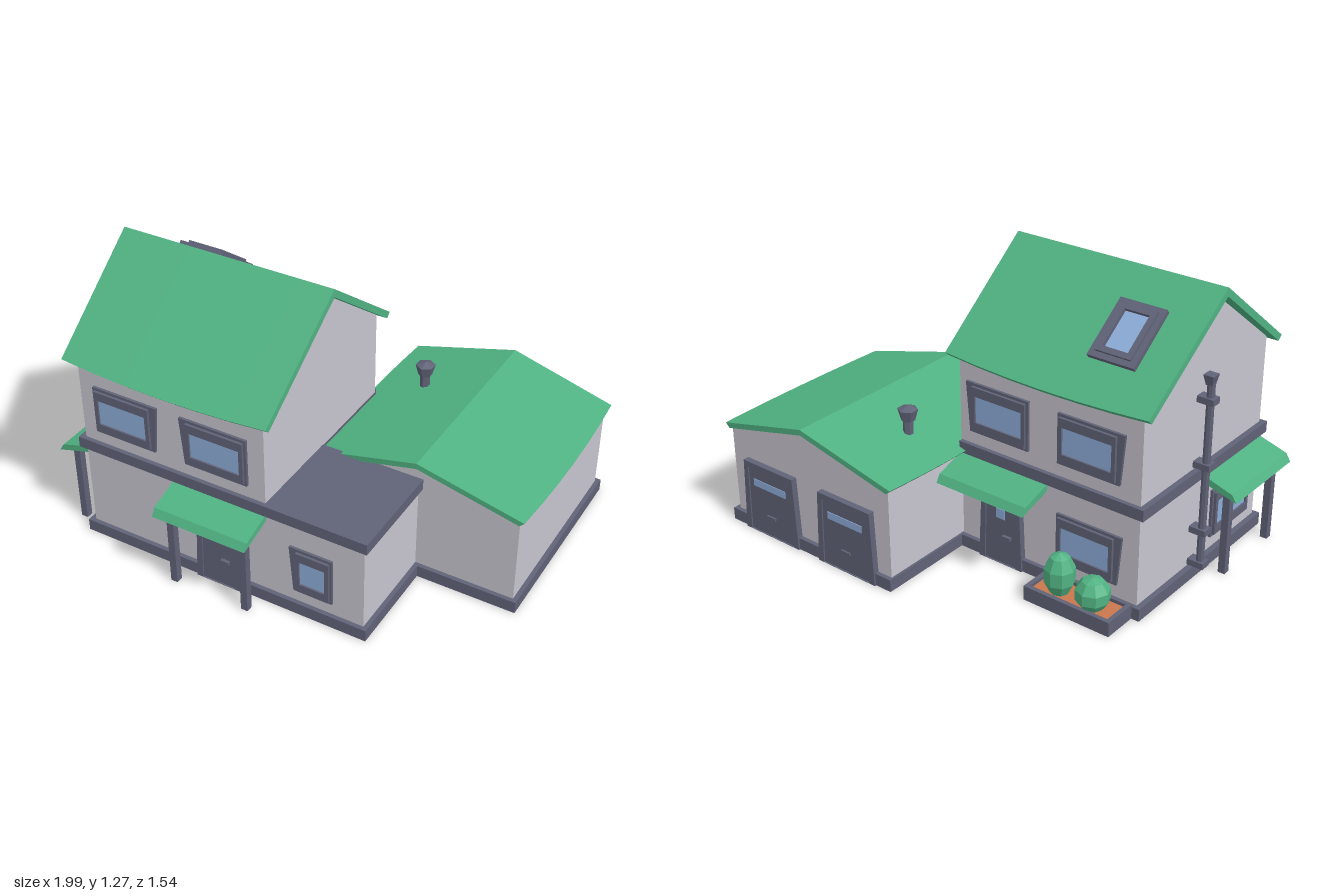
import * as THREE from 'three';

const mat = (name, color) => new THREE.MeshStandardMaterial({ name, color });

export function createModel() {
  const house = new THREE.Group();
  house.name = 'house';
  const wall = mat('wall grey', 0xc6c4cd), slate = mat('slate', 0x606277), green = mat('roof green', 0x50b282);
  const glass = mat('glass blue', 0x8cadd8), soil = mat('soil orange', 0xc9784c);

  // Adds a faceted mesh
  function add(parent, name, geo, material, x = 0, y = 0, z = 0) {
    const g = geo.index ? geo.toNonIndexed() : geo;
    g.computeVertexNormals();
    const m = new THREE.Mesh(g, material);
    m.name = name;
    m.position.set(x, y, z);
    parent.add(m);
    return m;
  }
  // Box given by its limits
  const block = (parent, name, m, x0, x1, y0, y1, z0, z1) =>
    add(parent, name, new THREE.BoxGeometry(x1 - x0, y1 - y0, z1 - z0), m, (x0 + x1) / 2, (y0 + y1) / 2, (z0 + z1) / 2);
  const poly = pts => new THREE.Shape(pts.map(p => new THREE.Vector2(...p)));
  const extrude = (pts, depth, hole) => {
    const s = poly(pts);
    if (hole) s.holes.push(poly(hole));
    return new THREE.ExtrudeGeometry(s, { depth, bevelEnabled: false });
  };
  const rect = (w, h) => [[-w / 2, -h / 2], [w / 2, -h / 2], [w / 2, h / 2], [-w / 2, h / 2]];
  // Group standing on a wall, its local +z pointing out of the wall
  function mount(name, x, y, z, turn = 0) {
    const g = new THREE.Group();
    g.name = name;
    g.position.set(x, y, z);
    g.rotation.y = turn;
    house.add(g);
    return g;
  }
  const BACK = Math.PI, LEFT = -Math.PI / 2;

  // Gabled wall block, ridge along z
  function gable(half, eave, apex, y0, depth) {
    return extrude([[-half, y0], [half, y0], [half, eave], [0, apex], [-half, eave]], depth).translate(0, 0, -depth / 2);
  }
  // Chevron roof slab, ridge along x, with gently bowed eaves
  function roof(length, half, slope, thick) {
    const g = new THREE.BoxGeometry(length, thick, 2 * half, 6, 1, 2);
    const p = g.attributes.position;
    for (let i = 0; i < p.count; i++) {
      const u = p.getX(i) / (length / 2), v = p.getZ(i) / half;
      const low = p.getY(i) < 0;
      const z = v * (half - (low ? 0.022 : 0) - 0.016 * u * u);
      p.setXYZ(i, p.getX(i) * (1 - 0.03 * Math.abs(v)), (low ? -thick : 0) - slope * Math.abs(z), z);
    }
    return g;
  }

  // Plinths, walls and the band between floors
  block(house, 'mainPlinth', slate, -0.855, 0.05, 0, 0.055, -0.31, 0.63);
  block(house, 'wingPlinth', slate, 0.05, 0.53, 0, 0.055, 0.18, 0.63);
  block(house, 'garagePlinth', slate, 0.05, 0.98, 0, 0.055, -0.76, 0.18);
  block(house, 'lowerWalls', wall, -0.83, 0.055, 0.05, 0.46, -0.29, 0.61);
  block(house, 'wingWalls', wall, 0.055, 0.51, 0.05, 0.46, 0.1, 0.61);
  block(house, 'floorBand', slate, -0.855, 0.055, 0.455, 0.505, -0.31, 0.63);
  block(house, 'flatRoof', slate, 0.055, 0.53, 0.455, 0.505, 0.16, 0.63);
  add(house, 'upperWalls', gable(0.45, 0.9, 1.24, 0.5, 0.89).rotateY(Math.PI / 2), wall, -0.385, 0, 0.16);
  add(house, 'garageWalls', gable(0.45, 0.458, 0.575, 0.05, 0.9), wall, 0.51, 0, -0.29);

  // Roofs
  add(house, 'mainRoof', roof(1.005, 0.51, 0.75, 0.037), green, -0.388, 1.273, 0.16);
  add(house, 'garageRoof', roof(0.96, 0.49, 0.26, 0.026).rotateY(Math.PI / 2), green, 0.51, 0.597, -0.29);

  // Windows: skewed backing plate, raised frame and pane
  function windowUnit(name, x, y, z, turn, w, h, lean) {
    const g = mount(name, x, y, z, turn);
    const a = w / 2 + 0.028, b = h / 2 + 0.052;
    const t = a + 0.025, s = a + 0.006;
    const pts = lean > 0
      ? [[-a, -b], [s, -b], [t, b], [-a, b]]
      : [[-s, -b], [a, -b], [a, b], [-t, b]];
    add(g, 'windowSurround', extrude(pts, 0.012), slate);
    add(g, 'windowFrame', extrude(rect(w + 0.035, h + 0.08), 0.024, rect(w, h)), slate);
    add(g, 'pane', new THREE.BoxGeometry(w, h, 0.004), glass, 0, 0, 0.014);
  }
  windowUnit('upperFrontWindow', -0.612, 0.677, 0.61, 0, 0.235, 0.118, 1);
  windowUnit('upperFrontWindow', -0.162, 0.677, 0.61, 0, 0.235, 0.118, -1);
  windowUnit('lowerFrontWindow', 0.283, 0.227, 0.61, 0, 0.118, 0.118, -1);
  windowUnit('upperBackWindow', -0.585, 0.677, -0.29, BACK, 0.235, 0.118, 1);
  windowUnit('upperBackWindow', -0.15, 0.677, -0.29, BACK, 0.235, 0.118, -1);
  windowUnit('lowerBackWindow', -0.585, 0.227, -0.29, BACK, 0.235, 0.118, 1);
  windowUnit('sideWindow', -0.83, 0.227, 0.38, LEFT, 0.235, 0.118, 1);

  // Doors: flared surround, leaf, handle and optional pane
  function door(name, x, z, turn, w, pane) {
    const g = mount(name, x, 0, z, turn);
    const a = w / 2;
    add(g, 'doorSurround', extrude(
      [[-a - 0.03, 0], [a + 0.03, 0], [a + 0.015, 0.335], [-a - 0.015, 0.335]], 0.028,
      [[-a, 0.002], [a, 0.002], [a - 0.008, 0.308], [-a + 0.008, 0.308]]), slate);
    block(g, 'doorLeaf', slate, -a, a, 0, 0.31, 0, 0.022);
    if (pane) block(g, 'doorPane', glass, -pane[0] / 2, pane[0] / 2, pane[1], pane[2], 0.021, 0.025);
    return g;
  }
  for (const [name, z, turn, pane] of [['frontDoor', 0.61, 0, null], ['backDoor', -0.29, BACK, [0.045, 0.215, 0.26]]]) {
    const d = door(name, -0.165, z, turn, 0.165, pane);
    block(d, 'handle', slate, 0.015, 0.055, 0.128, 0.143, 0.022, 0.037);
  }
  for (const x of [0.29, 0.73]) {
    const d = door('garageDoor', x, -0.74, BACK, 0.26, [0.19, 0.225, 0.258]);
    block(d, 'handle', slate, -0.025, 0.025, 0.09, 0.102, 0.022, 0.03);
  }

  // Sloping canopies, with posts where they stand free
  function canopy(name, x, z, turn, posts, postOut) {
    const g = mount(name, x, 0, z, turn);
    const len = 0.445;
    const geo = extrude([[-0.01, 0.418], [0.16, 0.368], [0.142, 0.402], [-0.01, 0.45]].map(
      ([o, y], i) => (i === 1 ? [0.163, y] : [o, y])), len);
    add(g, 'canopyRoof', geo.translate(0, 0, -len / 2).rotateY(-Math.PI / 2), green);
    for (const px of posts)
      block(g, 'post', slate, px - 0.016, px + 0.016, 0, 0.39, postOut - 0.016, postOut + 0.016);
  }
  canopy('frontCanopy', -0.163, 0.61, 0, [-0.175, 0.175], 0.095);
  canopy('sideCanopy', -0.83, 0.38, LEFT, [-0.175, 0.175], 0.1);
  canopy('backCanopy', -0.163, -0.29, BACK, [], 0);

  // Skylight lying on the rear slope
  const sky = mount('skylight', -0.612, 1.125, -0.085, BACK);
  sky.rotation.set(-Math.PI / 2 - Math.atan(0.75), 0, 0);
  sky.position.y = 1.273 - 0.75 * 0.245 - 0.005;
  add(sky, 'skylightFrame', extrude(rect(0.215, 0.275), 0.025, rect(0.15, 0.21)), slate);
  add(sky, 'skylightInnerFrame', extrude(rect(0.165, 0.225), 0.036, rect(0.115, 0.175)), slate);
  add(sky, 'skylightPane', new THREE.BoxGeometry(0.115, 0.175, 0.006), glass, 0, 0, 0.017);

  // Roof vent
  add(house, 'ventPipe', new THREE.CylinderGeometry(0.022, 0.022, 0.12, 6), slate, 0.242, 0.545, -0.413);
  add(house, 'ventCap', new THREE.CylinderGeometry(0.044, 0.03, 0.05, 6), slate, 0.242, 0.61, -0.413);
  add(house, 'ventTop', new THREE.ConeGeometry(0.044, 0.016, 6), slate, 0.242, 0.643, -0.413);

  // Downpipe with hopper and brackets
  add(house, 'downpipe', new THREE.CylinderGeometry(0.017, 0.017, 0.83, 8), slate, -0.878, 0.475, 0.1);
  add(house, 'hopper', new THREE.CylinderGeometry(0.033, 0.02, 0.045, 4, 1, false, Math.PI / 4), slate, -0.875, 0.908, 0.1);
  for (const y of [0.075, 0.23, 0.53, 0.82])
    block(house, 'pipeBracket', slate, -0.905, -0.825, y - 0.014, y + 0.014, 0.076, 0.124);

  // Planter with soil and shrubs
  const planter = mount('planter', -0.612, 0, -0.385);
  add(planter, 'planterRim', extrude(rect(0.415, 0.165), 0.065, rect(0.375, 0.125)).rotateX(-Math.PI / 2), slate);
  block(planter, 'soil', soil, -0.19, 0.19, 0.002, 0.05, -0.065, 0.065);
  for (const [x, r, h] of [[-0.083, 0.076, 0.075], [0.078, 0.068, 0.1]])
    add(planter, 'shrub', new THREE.SphereGeometry(1, 8, 5).scale(r, h, r), green, x, 0.04 + h, -0.015);

  return house;
}
